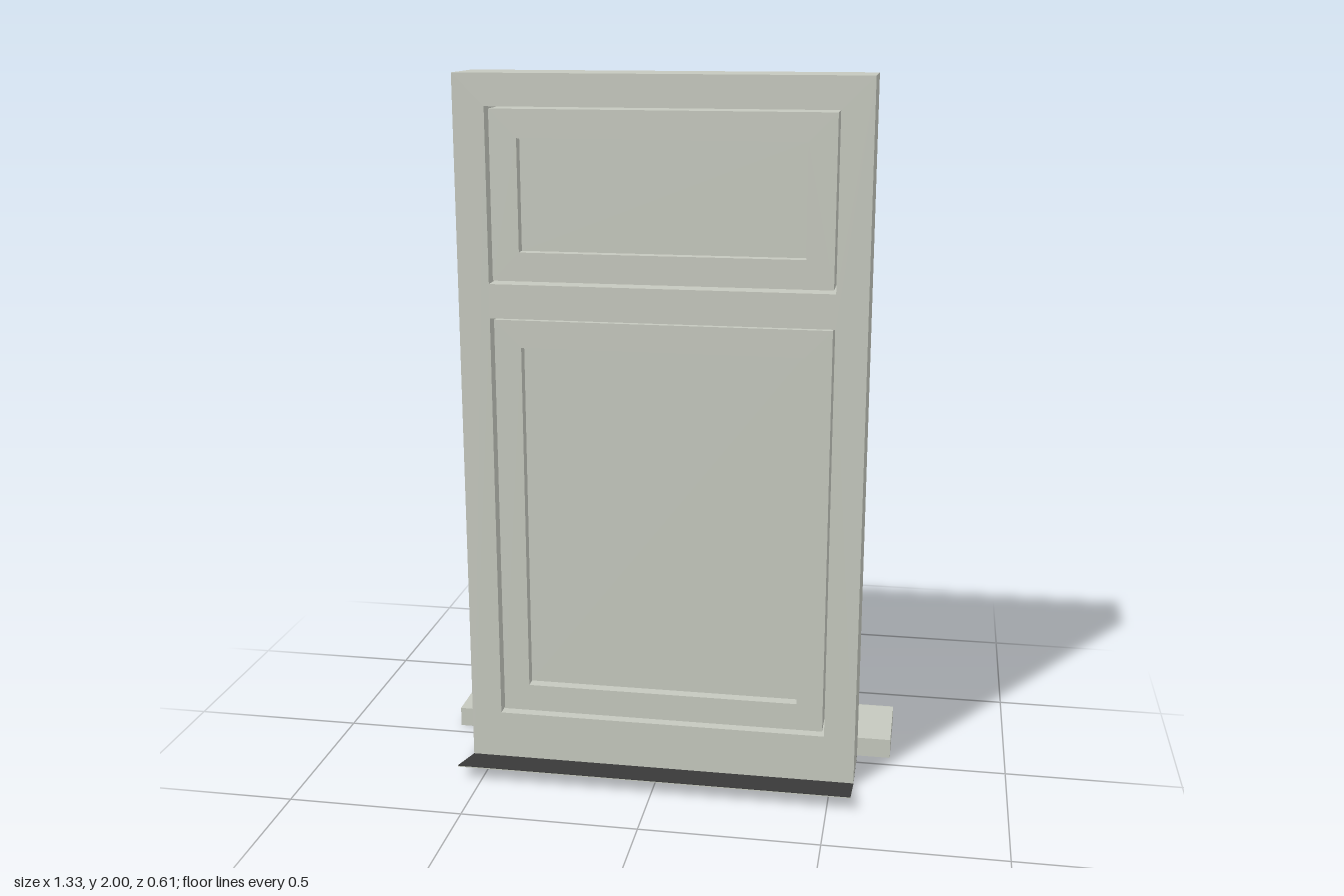
import * as THREE from 'three';

const paint = new THREE.MeshStandardMaterial({ color: 0xc5c8be });
paint.name = 'stone grey paint';
const lead = new THREE.MeshStandardMaterial({ color: 0x3c3c3c });
lead.name = 'dark flashing';

function add(parent, name, geometry, x = 0, y = 0, z = 0, material = paint) {
  const mesh = new THREE.Mesh(geometry, material);
  mesh.name = name;
  mesh.position.set(x, y, z);
  parent.add(mesh);
  return mesh;
}

function rectangle(path, x, y0, y1) {
  path.moveTo(-x, y0);
  path.lineTo(x, y0);
  path.lineTo(x, y1);
  path.lineTo(-x, y1);
  path.closePath();
  return path;
}

// Rectangular slab with rectangular holes, each given as [half width, bottom, top]
function slab(outer, holes, z0, z1) {
  const shape = rectangle(new THREE.Shape(), ...outer);
  for (const h of holes) shape.holes.push(rectangle(new THREE.Path(), ...h));
  const g = new THREE.ExtrudeGeometry(shape, { depth: z1 - z0, bevelEnabled: false });
  return g.translate(0, 0, z0);
}

// Extrudes a side outline along x; the outline's first axis points to the back
function alongX(shape, halfWidth) {
  const g = new THREE.ExtrudeGeometry(shape, { depth: halfWidth * 2, bevelEnabled: false, curveSegments: 12 });
  return g.translate(0, 0, -halfWidth).rotateY(Math.PI / 2);
}

// Sash with overlapping back lip, inner bead and sunken panel
function makeSash(name, y0, y1) {
  const sash = new THREE.Group();
  sash.name = name;
  const opening = [0.395, y0 + 0.087, y1 - 0.085];
  const beadHole = [0.378, y0 + 0.104, y1 - 0.102];
  add(sash, 'sashBody', slab([0.471, y0 + 0.007, y1 - 0.007], [opening], -0.05, 0.128));
  add(sash, 'sashLip', slab([0.49, y0 - 0.014, y1 + 0.014], [opening], -0.068, -0.05));
  add(sash, 'glazingBead', slab(opening, [beadHole], -0.045, -0.01));
  add(sash, 'panel', slab(opening, [], -0.015, 0.095));
  return sash;
}

// Bow pull handle: flat curved grip on two mounting feet
function makeHandle(y) {
  const handle = new THREE.Group();
  handle.name = 'pullHandle';
  handle.position.set(-0.432, y, -0.068);
  for (const s of [-1, 1]) {
    add(handle, 'handlePlate', new THREE.BoxGeometry(0.03, 0.042, 0.008), 0, s * 0.086, -0.004);
    add(handle, 'handleFoot', new THREE.BoxGeometry(0.018, 0.014, 0.03), 0, s * 0.09, -0.02);
  }
  const bow = new THREE.Shape();
  bow.moveTo(0.028, -0.097);
  bow.lineTo(0.039, -0.097);
  bow.quadraticCurveTo(0.057, 0, 0.039, 0.097);
  bow.lineTo(0.028, 0.097);
  bow.quadraticCurveTo(0.046, 0, 0.028, -0.097);
  add(handle, 'handleBow', alongX(bow, 0.012));
  return handle;
}

// Turn latch: round pivot post with a lever at a given angle
function makeLatch(y, angle) {
  const latch = new THREE.Group();
  latch.name = 'turnLatch';
  latch.position.set(-0.52, y, -0.05);
  latch.rotation.z = angle;
  const post = new THREE.CylinderGeometry(0.017, 0.017, 0.034, 18).rotateX(Math.PI / 2);
  add(latch, 'latchPost', post, 0, 0, -0.017);
  add(latch, 'latchLever', new THREE.BoxGeometry(0.088, 0.017, 0.01), 0.041, 0, -0.028);
  return latch;
}

// Half-round hinge barrel with a flat leaf
function makeHinge(y, length) {
  const hinge = new THREE.Group();
  hinge.name = 'hinge';
  hinge.position.set(0.471, y, -0.067);
  add(hinge, 'hingeBarrel', new THREE.CylinderGeometry(0.013, 0.013, length, 16));
  add(hinge, 'hingeLeaf', new THREE.BoxGeometry(0.032, length, 0.005), 0, 0, -0.002);
  return hinge;
}

// Bent sheet layer that rises towards the outer edge
function makeSheet(y0, y1) {
  const rise = 0.041;
  const outline = [[-0.305, y0 + rise], [-0.145, y0], [0.05, y0], [0.05, y1], [-0.145, y1], [-0.305, y1 + rise]];
  return alongX(new THREE.Shape(outline.map((p) => new THREE.Vector2(...p))), 0.566);
}

export function createModel() {
  const model = new THREE.Group();
  model.name = 'window';
  const upper = [0.478, 1.43, 1.912];
  const lower = [0.478, 0.145, 1.334];

  // Outer frame and sashes
  add(model, 'frame', slab([0.566, 0.005, 2], [upper, lower], -0.05, 0.145));
  model.add(makeSash('upperSash', upper[1], upper[2]));
  model.add(makeSash('lowerSash', lower[1], lower[2]));

  // Inner sill board with a rounded nose
  const sill = new THREE.Shape();
  sill.moveTo(0.045, 0);
  sill.lineTo(0.277, 0);
  sill.absarc(0.277, 0.029, 0.029, -Math.PI / 2, Math.PI / 2, false);
  sill.lineTo(0.045, 0.058);
  sill.closePath();
  add(model, 'sillBoard', alongX(sill, 0.663));

  // Outer sill sheet: painted underside with dark flashing on top
  add(model, 'flashingUnderside', makeSheet(0, 0.003));
  add(model, 'flashing', makeSheet(0.003, 0.005), 0, 0, 0, lead);

  // Fittings on the inner side
  for (const y of [0.745, 1.675]) model.add(makeHandle(y));
  for (const [y, length] of [[1.673, 0.22], [1.135, 0.135], [0.35, 0.13]]) model.add(makeHinge(y, length));
  for (const y of [1.09, 0.385]) model.add(makeLatch(y, 0));
  model.add(makeLatch(1.645, Math.PI + 0.15));

  return model;
}
